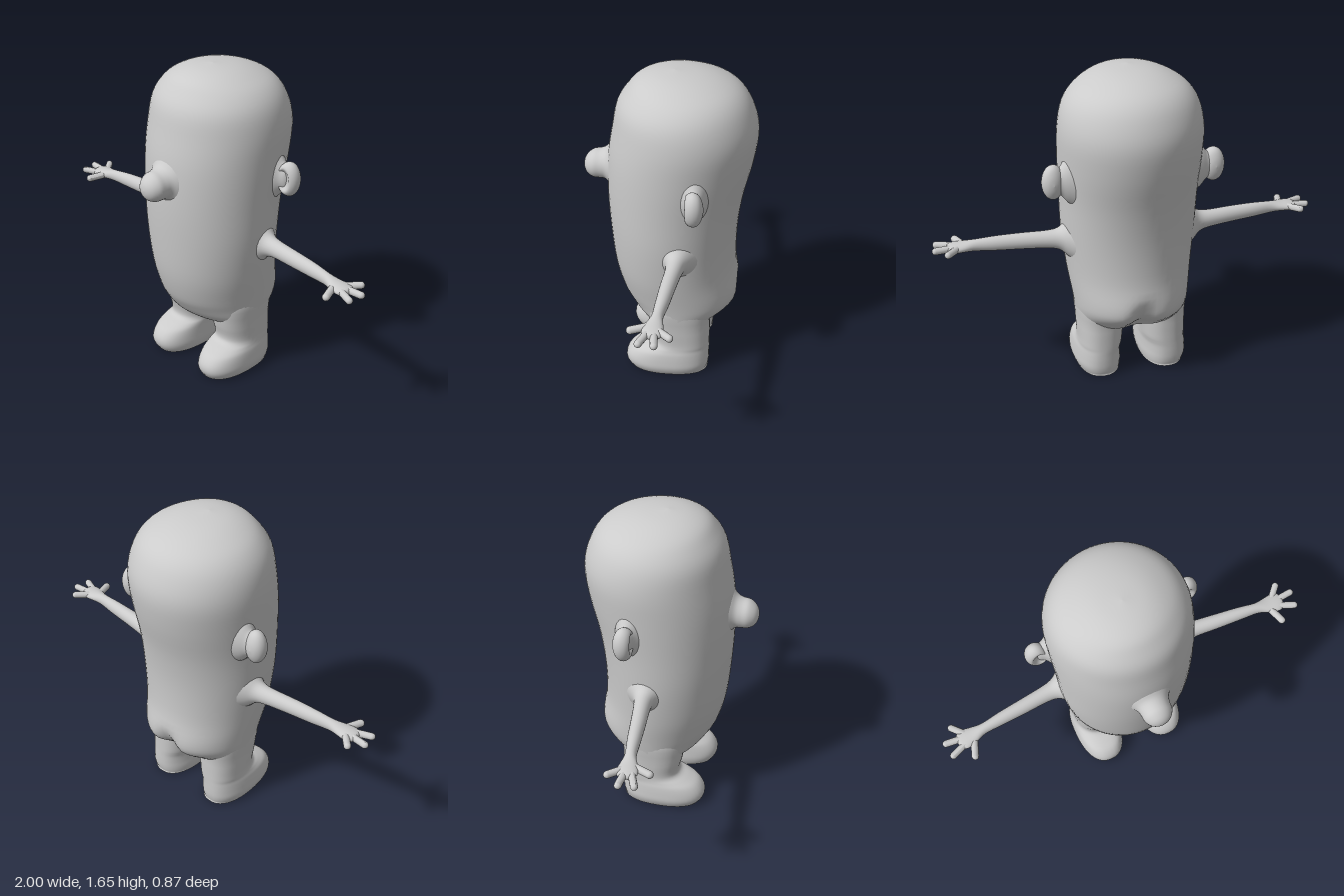
import * as THREE from 'three';

const material = new THREE.MeshStandardMaterial({ color: 0xcccccc });

// Catmull-Rom refinement of a short table of cross-sections
function refine(rows, steps) {
  const out = [];
  const at = (i) => rows[Math.min(Math.max(i, 0), rows.length - 1)];
  for (let i = 0; i < rows.length - 1; i++) {
    for (let s = 0; s < steps; s++) {
      const t = s / steps;
      out.push(at(i).map((b, k) => {
        const a = at(i - 1)[k], c = at(i + 1)[k], d = at(i + 2)[k];
        return b + 0.5 * t * (c - a + t * (2 * a - 5 * b + 4 * c - d + t * (3 * (b - c) + d - a)));
      }));
    }
  }
  out.push(rows[rows.length - 1]);
  return out;
}

// Smooth skin over closed rings of points
function skin(rings) {
  const n = rings[0].length, index = [];
  for (let i = 0; i < rings.length - 1; i++) {
    for (let j = 0; j < n; j++) {
      const a = i * n + j, b = i * n + (j + 1) % n;
      index.push(a, a + n, b, b, a + n, b + n);
    }
  }
  const g = new THREE.BufferGeometry();
  g.setAttribute('position', new THREE.Float32BufferAttribute(rings.flat(2), 3));
  g.setIndex(index);
  g.computeVertexNormals();
  return g;
}

// Superellipse sections along an axis (0 x, 1 y, 2 z).
// Row: [position, centre on previous axis, centre on next axis, radius previous, radius next]
function loft(axis, rows, sides = 32, power = 1, steps = 4, warp = (p) => p) {
  const prev = (axis + 2) % 3, next = (axis + 1) % 3;
  const bend = (v) => Math.sign(v) * Math.abs(v) ** power;
  return skin(refine(rows, steps).map(([pos, cp, cn, rp, rn]) =>
    Array.from({ length: sides }, (_, j) => {
      const a = (j / sides) * Math.PI * 2, p = [0, 0, 0];
      p[axis] = pos;
      p[prev] = cp + rp * bend(Math.cos(a));
      p[next] = cn + rn * bend(Math.sin(a));
      return warp(p);
    })));
}

// Upright row from half width and front / back depth
const upright = (y, cx, w, front, back) => [y, cx, (front + back) / 2, w, (front - back) / 2];

function mirrored(geometry) {
  const g = geometry.clone().scale(-1, 1, 1);
  const idx = g.index.array;
  for (let i = 0; i < idx.length; i += 3) [idx[i], idx[i + 1]] = [idx[i + 1], idx[i]];
  g.computeVertexNormals();
  return g;
}

// Rounded finger from one point to another
function finger(from, to, r) {
  const a = new THREE.Vector3(...from), b = new THREE.Vector3(...to);
  const dir = b.clone().sub(a), length = dir.length();
  const q = new THREE.Quaternion().setFromUnitVectors(new THREE.Vector3(0, 1, 0), dir.normalize());
  return new THREE.CapsuleGeometry(r, length - r, 6, 12)
    .applyQuaternion(q)
    .translate(...a.add(b).multiplyScalar(0.5).toArray());
}

export function createModel() {
  const model = new THREE.Group();
  model.name = 'figure';
  const add = (name, geometry, parent = model) => {
    const mesh = new THREE.Mesh(geometry, material);
    mesh.name = name;
    parent.add(mesh);
  };

  // Head and torso in one, with a soft cleft low at the back
  add('body', loft(1, [
    upright(0.27, 0, 0, -0.06, -0.06),
    upright(0.273, 0, 0.2, 0.04, -0.18),
    upright(0.29, 0, 0.27, 0.11, -0.235),
    upright(0.33, 0, 0.288, 0.17, -0.29),
    upright(0.39, 0, 0.296, 0.215, -0.355),
    upright(0.46, 0, 0.305, 0.25, -0.37),
    upright(0.6, 0, 0.325, 0.285, -0.345),
    upright(0.8, 0, 0.345, 0.305, -0.345),
    upright(1.0, 0, 0.352, 0.315, -0.37),
    upright(1.2, 0, 0.36, 0.31, -0.415),
    upright(1.36, 0, 0.36, 0.285, -0.432),
    upright(1.48, 0, 0.335, 0.26, -0.4),
    upright(1.56, 0, 0.28, 0.21, -0.345),
    upright(1.61, 0, 0.2, 0.16, -0.26),
    upright(1.64, 0, 0.11, 0.08, -0.15),
    upright(1.652, 0, 0, -0.02, -0.02),
  ], 64, 1, 4, ([x, y, z]) => {
    const low = THREE.MathUtils.smoothstep(0.54 - y, 0, 0.16);
    const rear = THREE.MathUtils.smoothstep(-z, 0.15, 0.3);
    return [x, y, z + 0.06 * low * rear * Math.exp(-((x / 0.06) ** 2))];
  }));

  // Nose: a ball on a flared base
  add('nose', loft(2, [
    [0.2, 1.12, 0, 0.2, 0.19], [0.285, 1.125, 0, 0.13, 0.115], [0.32, 1.125, 0, 0.088, 0.085],
    [0.35, 1.12, 0, 0.077, 0.077], [0.385, 1.118, 0, 0.073, 0.073], [0.415, 1.115, 0, 0.054, 0.054],
    [0.431, 1.115, 0, 0.028, 0.028], [0.436, 1.115, 0, 0, 0],
  ]));

  // Parts for the left side, mirrored to the right
  const pairs = {
    Leg: { leg: loft(1, [
      upright(0.004, 0.175, 0, 0, 0),
      upright(0.005, 0.175, 0.1, 0.17, -0.2),
      upright(0.015, 0.177, 0.115, 0.195, -0.215),
      upright(0.05, 0.18, 0.124, 0.214, -0.223),
      upright(0.09, 0.18, 0.122, 0.21, -0.225),
      upright(0.13, 0.178, 0.118, 0.18, -0.225),
      upright(0.155, 0.174, 0.115, 0.13, -0.225),
      upright(0.175, 0.172, 0.114, 0.085, -0.225),
      upright(0.21, 0.17, 0.115, 0.075, -0.225),
      upright(0.3, 0.167, 0.121, 0.095, -0.225),
      upright(0.45, 0.165, 0.12, 0.1, -0.22),
      upright(0.5, 0.16, 0, -0.06, -0.06),
    ], 40, 0.85) },
    Arm: {
      arm: loft(0, [
        [0.28, -0.07, 0.77, 0.12, 0.13], [0.33, -0.065, 0.772, 0.078, 0.092],
        [0.37, -0.063, 0.775, 0.052, 0.058], [0.43, -0.058, 0.777, 0.042, 0.046],
        [0.55, -0.045, 0.779, 0.038, 0.042], [0.68, -0.033, 0.779, 0.033, 0.038],
        [0.78, -0.022, 0.777, 0.028, 0.031], [0.84, -0.014, 0.774, 0.043, 0.025],
        [0.89, -0.012, 0.772, 0.052, 0.022], [0.92, -0.012, 0.772, 0.036, 0.016],
        [0.93, -0.012, 0.772, 0, 0],
      ], 24),
      thumb: finger([0.845, 0.772, 0.01], [0.877, 0.765, 0.1], 0.019),
      frontFinger: finger([0.89, 0.772, 0.01], [0.98, 0.77, 0.047], 0.018),
      middleFinger: finger([0.89, 0.773, -0.02], [0.992, 0.773, -0.03], 0.018),
      backFinger: finger([0.87, 0.774, -0.03], [0.935, 0.778, -0.1], 0.018),
    },
    Ear: {
      // Flared root and a lobe hollowed at the front
      earRoot: loft(0, [
        [0.27, -0.13, 1.13, 0.1, 0.17], [0.335, -0.135, 1.13, 0.07, 0.12],
        [0.37, -0.145, 1.13, 0.044, 0.075], [0.4, -0.15, 1.13, 0.03, 0.06], [0.42, -0.15, 1.13, 0, 0],
      ], 24),
      earLobe: loft(2, [
        [-0.198, 1.13, 0.41, 0, 0], [-0.192, 1.13, 0.411, 0.04, 0.026], [-0.175, 1.13, 0.41, 0.076, 0.047],
        [-0.15, 1.13, 0.408, 0.09, 0.057], [-0.125, 1.13, 0.405, 0.083, 0.054],
        [-0.11, 1.13, 0.4, 0.062, 0.04], [-0.125, 1.13, 0.395, 0.035, 0.022], [-0.13, 1.13, 0.39, 0, 0],
      ], 28),
    },
  };
  for (const [pair, parts] of Object.entries(pairs)) {
    for (const side of ['left', 'right']) {
      const group = new THREE.Group();
      group.name = side + pair;
      for (const [name, g] of Object.entries(parts)) add(name, side === 'left' ? g : mirrored(g), group);
      model.add(group);
    }
  }
  return model;
}
